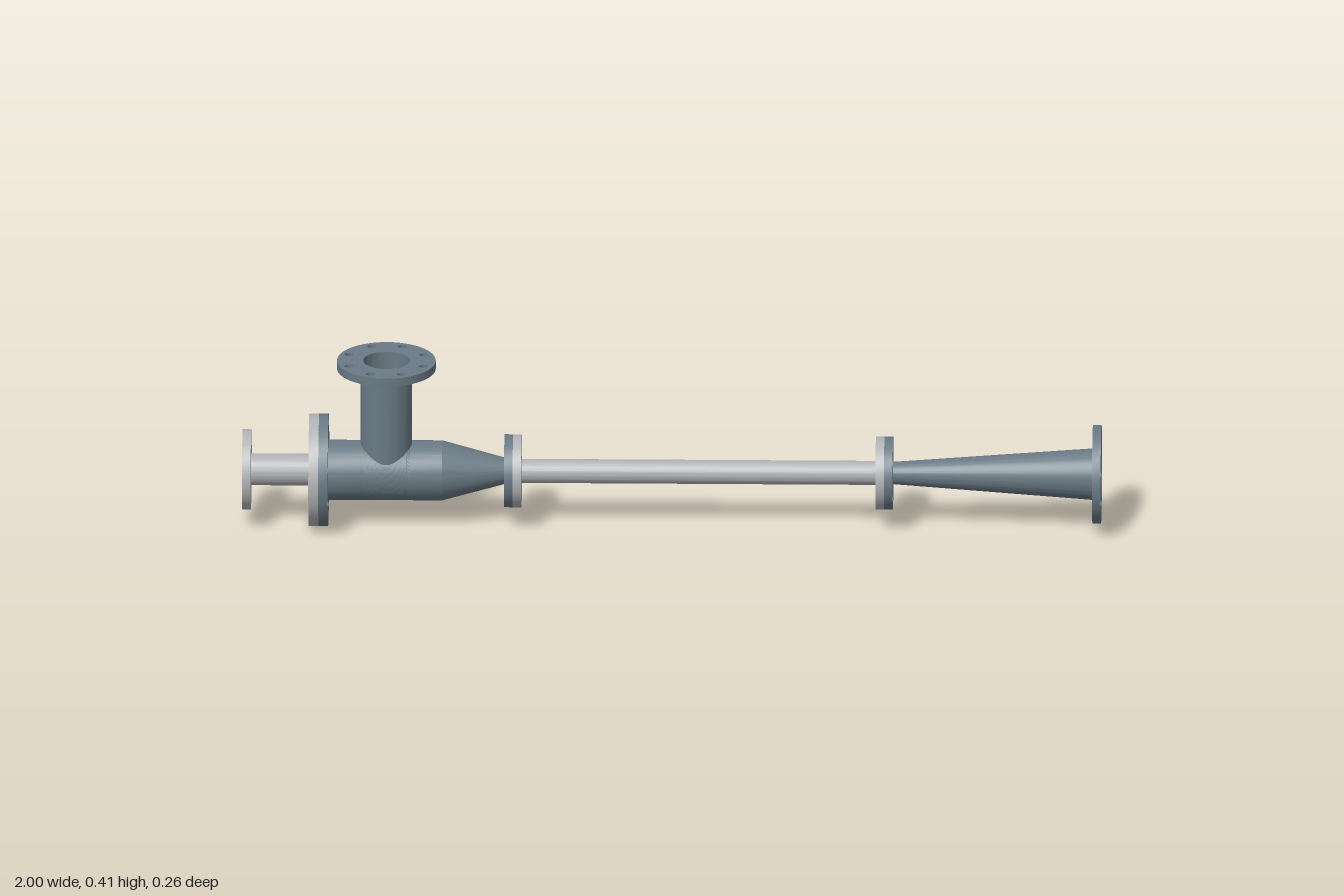
import * as THREE from 'three';
import { toCreasedNormals } from 'three/addons/utils/BufferGeometryUtils.js';

const AXIS_Y = 0.131;               // height of the main centreline
const BRANCH_X = -0.665;            // centre of the vertical inlet
const BODY_OUT = 0.07, BODY_IN = 0.064;
const BRANCH_OUT = 0.06, BRANCH_IN = 0.054;
const SEG = 48;

export function createModel() {
  const model = new THREE.Group();
  model.name = 'jetEjector';
  const slate = new THREE.MeshStandardMaterial({ color: 0x6a7a85 });
  slate.name = 'slate painted steel';
  const steel = new THREE.MeshStandardMaterial({ color: 0xb2b3b6 });
  steel.name = 'bare steel';

  function add(name, geometry, material, crease = 0.24) {
    const mesh = new THREE.Mesh(toCreasedNormals(geometry, crease), material);
    mesh.name = name;
    model.add(mesh);
    return mesh;
  }

  // Hollow part turned around the main axis; outer and inner are [x, radius] lists, left to right
  function turned(name, outer, inner, material) {
    const loop = [...outer, ...inner.slice().reverse(), outer[0]];
    const geometry = new THREE.LatheGeometry(loop.map(([x, r]) => new THREE.Vector2(r, x)), SEG);
    geometry.rotateZ(-Math.PI / 2).translate(0, AXIS_Y, 0);
    return add(name, geometry, material);
  }

  // Drilled ring, extruded along z from 0
  function ring(radius, bore, depth, count, boltCircle, holeRadius) {
    const shape = new THREE.Shape().absarc(0, 0, radius, 0, Math.PI * 2);
    const hole = (x, y, r) =>
      shape.holes.push(new THREE.Path().absarc(x, y, r, 0, Math.PI * 2, true));
    hole(0, 0, bore);
    for (let i = 0; i < count; i++) {
      const a = ((i + 0.5) / count) * Math.PI * 2;
      hole(Math.cos(a) * boltCircle, Math.sin(a) * boltCircle, holeRadius);
    }
    return new THREE.ExtrudeGeometry(shape, { depth, bevelEnabled: false, curveSegments: SEG / 2 });
  }

  function flange(name, x0, x1, material, ...spec) {
    const [radius, bore, ...holes] = spec;
    const geometry = ring(radius, bore, x1 - x0, ...holes);
    geometry.rotateY(Math.PI / 2).translate(x0, AXIS_Y, 0);
    add(name, geometry, material);
  }

  // Motive inlet: flange, pipe and the nozzle it feeds inside the chamber
  flange('motiveInletFlange', -1, -0.98, steel, 0.094, 0.03, 8, 0.074, 0.008);
  turned('motivePipeAndNozzle',
    [[-0.98, 0.037], [-0.56, 0.037], [-0.42, 0.018]],
    [[-0.98, 0.03], [-0.56, 0.03], [-0.42, 0.01]], steel);
  flange('nozzlePlate', -0.845, -0.822, steel, 0.131, 0.036, 8, 0.11, 0.01);
  flange('chamberFlange', -0.822, -0.8, slate, 0.131, BODY_IN, 8, 0.11, 0.01);

  // Suction chamber on both sides of the branch opening
  const cutL = BRANCH_X - BRANCH_IN, cutR = BRANCH_X + BRANCH_IN;
  turned('chamberRear', [[-0.8, BODY_OUT], [cutL, BODY_OUT]], [[-0.8, BODY_IN], [cutL, BODY_IN]], slate);
  turned('chamberTaper',
    [[cutR, BODY_OUT], [-0.535, BODY_OUT], [-0.39, 0.031]],
    [[cutR, BODY_IN], [-0.535, BODY_IN], [-0.39, 0.024]], slate);

  // Chamber wall around the branch opening, made of arcs that leave the opening free
  function openWall(name, radius, inward) {
    const rows = 24, position = [], index = [];
    for (let i = 0; i <= rows; i++) {
      const t = (i / rows) * Math.PI;
      const gap = Math.asin((BRANCH_IN * Math.sin(t)) / radius);
      for (let j = 0; j <= SEG; j++) {
        const a = gap + (j / SEG) * (Math.PI * 2 - gap * 2);
        position.push(BRANCH_X - BRANCH_IN * Math.cos(t),
          AXIS_Y + radius * Math.cos(a), radius * Math.sin(a));
        if (i === rows || j === SEG) continue;
        const p = i * (SEG + 1) + j, q = p + SEG + 1;
        if (inward) index.push(p, q, p + 1, p + 1, q, q + 1);
        else index.push(p, p + 1, q, p + 1, q + 1, q);
      }
    }
    const geometry = new THREE.BufferGeometry();
    geometry.setAttribute('position', new THREE.Float32BufferAttribute(position, 3));
    geometry.setIndex(index);
    geometry.computeVertexNormals();
    add(name, geometry, slate);
  }
  openWall('chamberWallOutside', BODY_OUT, false);
  openWall('chamberWallInside', BODY_IN, true);

  // Branch pipe, its lower rim moved down onto the chamber wall
  function branch(name, radius, bodyRadius, inward) {
    const top = 0.39;
    const geometry = new THREE.CylinderGeometry(radius, radius, 1, SEG, 1, true);
    const p = geometry.attributes.position;
    for (let i = 0; i < p.count; i++) {
      const saddle = AXIS_Y + Math.sqrt(bodyRadius ** 2 - p.getZ(i) ** 2);
      p.setY(i, p.getY(i) > 0 ? top : saddle);
    }
    if (inward) {
      const ids = geometry.index.array;
      for (let i = 0; i < ids.length; i += 3) [ids[i], ids[i + 1]] = [ids[i + 1], ids[i]];
    }
    geometry.translate(BRANCH_X, 0, 0);
    geometry.deleteAttribute('uv');
    geometry.computeVertexNormals();
    add(name, geometry, slate);
  }
  branch('branchPipeOutside', BRANCH_OUT, BODY_OUT, false);
  branch('branchPipeInside', BRANCH_IN, BODY_IN, true);
  const branchRing = ring(0.115, BRANCH_IN, 0.02, 8, 0.094, 0.01);
  branchRing.rotateX(-Math.PI / 2).translate(BRANCH_X, 0.386, 0);
  add('branchFlange', branchRing, slate);

  // Mixing tube with a bolted joint at each end
  const joint = [0.085, 0.022, 4, 0.063, 0.009];
  flange('chamberOutletFlange', -0.39, -0.37, slate, ...joint);
  flange('tubeInletFlange', -0.37, -0.35, steel, ...joint);
  turned('mixingTube', [[-0.35, 0.028], [0.475, 0.028]], [[-0.35, 0.022], [0.475, 0.022]], steel);
  flange('tubeOutletFlange', 0.475, 0.495, steel, ...joint);
  flange('diffuserInletFlange', 0.495, 0.515, slate, ...joint);

  // Diffuser cone and outlet flange
  turned('diffuser', [[0.515, 0.026], [0.98, 0.06]], [[0.515, 0.022], [0.98, 0.054]], slate);
  flange('outletFlange', 0.98, 1, slate, 0.115, 0.054, 8, 0.094, 0.01);

  return model;
}
